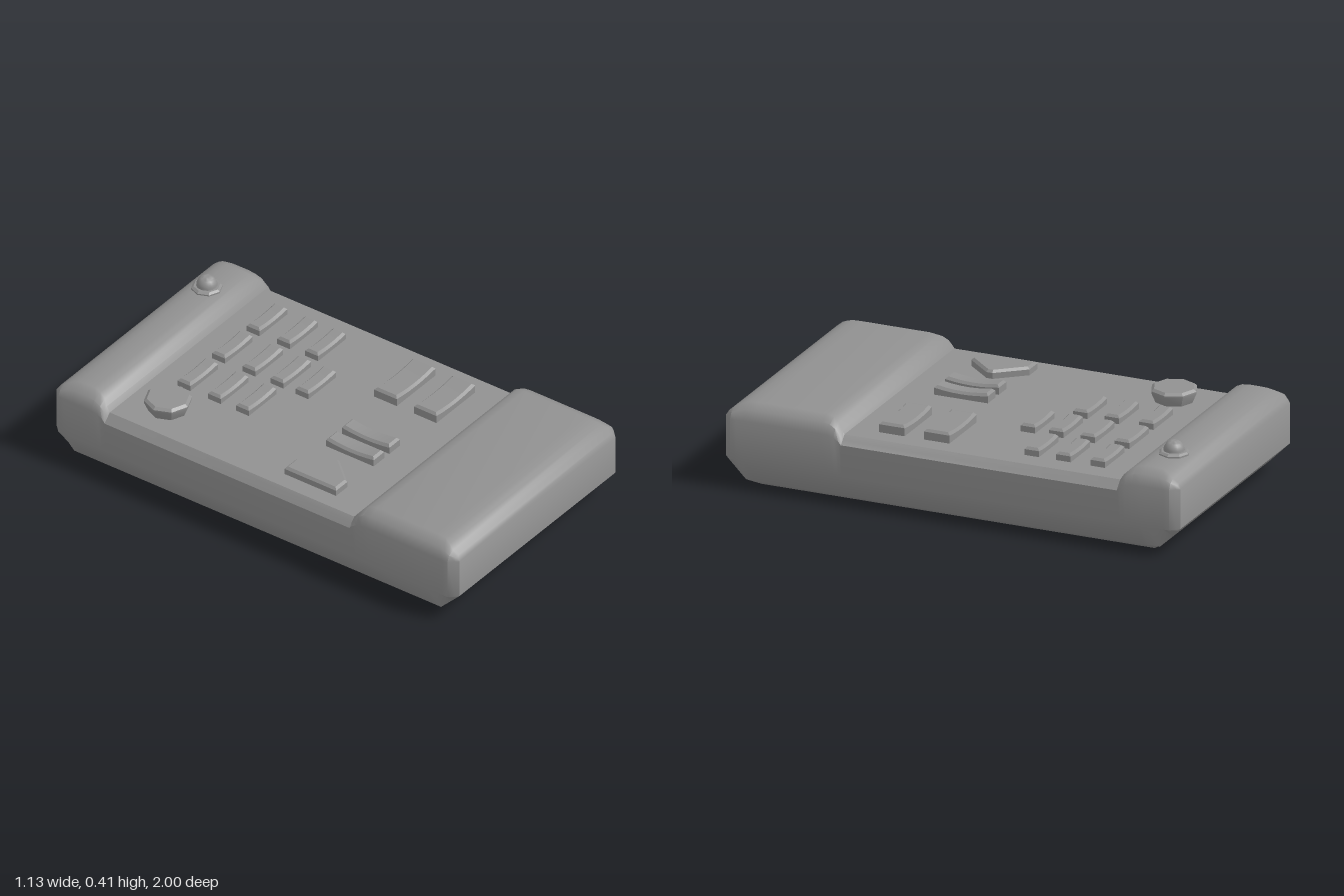
import * as THREE from 'three';
import { toCreasedNormals } from 'three/addons/utils/BufferGeometryUtils.js';

const FLOOR = 0.29; // height of the recessed button panel
const material = new THREE.MeshStandardMaterial({ color: 0x919191 });

function part(parent, name, geometry, x = 0, y = 0, z = 0, crease = 0.4) {
  const mesh = new THREE.Mesh(toCreasedNormals(geometry, crease), material);
  mesh.name = name;
  mesh.position.set(x, y, z);
  parent.add(mesh);
  return mesh;
}

// Casing: cross-sections lofted from front to back.
function casingGeometry() {
  // z, half width, lowest y, top y, top edge chamfer, chamfer roundness (0.5 = flat)
  const end = [
    [1, 0.528, 0.12, 0.29, 0], [0.988, 0.54, 0.108, 0.311, 0.021],
    [0.965, 0.563, 0.085, 0.329, 0.039], [0.94, 0.563, 0.06, 0.342, 0.052],
    [0.91, 0.563, 0.03, 0.353, 0.063], [0.865, 0.563, 0, 0.355, 0.065],
  ];
  const sections = [
    ...end,
    [0.57, 0.563, 0, 0.355, 0.065], [0.535, 0.563, 0, 0.348, 0.06],
    [0.51, 0.563, 0, 0.33, 0.05], [0.49, 0.563, 0, 0.305, 0.037, 0.42],
    [0.478, 0.563, 0, FLOOR, 0.035, 0.5], [-0.735, 0.563, 0, FLOOR, 0.035, 0.5],
    [-0.75, 0.563, 0, 0.313, 0.037, 0.42], [-0.77, 0.563, 0, 0.333, 0.05],
    [-0.8, 0.563, 0, 0.349, 0.06], [-0.835, 0.563, 0, 0.355, 0.065],
    ...end.slice().reverse().map(([z, ...rest]) => [-z, ...rest]),
  ];
  const pos = [], index = [];
  for (const [z, w, low, top, c, k = 0.33] of sections) {
    const half = [
      [0.48, low], [Math.min(0.53, w), Math.max(0.03, low)], [w, 0.12],
      [w, top - c], [w - k * c, top - k * c], [w - c, top],
    ];
    const loop = [...half, ...half.slice().reverse().map(([x, y]) => [-x, y])];
    loop.forEach(([x, y]) => pos.push(x, y, z));
  }
  const n = 12, last = (sections.length - 1) * n;
  for (let i = 0; i < last; i += n) {
    for (let j = 0; j < n; j++) {
      const k = (j + 1) % n;
      index.push(i + j, i + n + j, i + k, i + k, i + n + j, i + n + k);
    }
  }
  // end caps
  for (let j = 1; j < n - 1; j++) index.push(0, j, j + 1, last, last + j + 1, last + j);
  const g = new THREE.BufferGeometry();
  g.setAttribute('position', new THREE.Float32BufferAttribute(pos, 3));
  g.setIndex(index);
  return g;
}

// Rectangular key with a bevelled top that dips slightly along its length.
function keyGeometry(length, width, height, dip) {
  const g = new THREE.BoxGeometry(length, height, width, 6, 2, 1);
  g.translate(0, height / 2, 0);
  const p = g.attributes.position, inset = 0.01;
  for (let i = 0; i < p.count; i++) {
    const x = p.getX(i), y = p.getY(i), z = p.getZ(i);
    if (y < 0.001) continue;
    const isTop = y > height * 0.9;
    const sag = dip * (1 - (2 * x / length) ** 2);
    p.setY(i, (isTop ? height : height - inset) - sag);
    if (isTop) {
      p.setX(i, x * (1 - 2 * inset / length));
      p.setZ(i, z * (1 - 2 * inset / width));
    }
  }
  return g;
}

// Arrow-shaped button outline with a bevelled rim.
function arrowGeometry() {
  const b = 0.01;
  const outline = [[-0.446, 0.089], [-0.385, 0.089], [-0.292, 0.2], [-0.292, 0.22], [-0.385, 0.325], [-0.446, 0.325]];
  const shape = new THREE.Shape(outline.map(([x, z]) => new THREE.Vector2(x, -z)));
  const g = new THREE.ExtrudeGeometry(shape, {
    depth: 0.035 - b, bevelEnabled: true, bevelSegments: 1, bevelSize: b, bevelThickness: b,
  });
  return g.rotateX(-Math.PI / 2);
}

function lathe(points, sides) {
  return new THREE.LatheGeometry(points.map(([r, y]) => new THREE.Vector2(r, y)), sides);
}

export function createModel() {
  const model = new THREE.Group();
  model.name = 'remoteControl';
  part(model, 'casing', casingGeometry(), 0, 0, 0, 0.69);

  // Number keys: three rows of three and one below
  const keypad = new THREE.Group();
  keypad.name = 'keypad';
  model.add(keypad);
  const addKey = (x, z) => part(keypad, 'numberKey', keyGeometry(0.188, 0.064, 0.035, 0.006), x, FLOOR, z);
  for (const z of [-0.594, -0.443, -0.304]) {
    for (const x of [-0.125, 0.109, 0.343]) addKey(x, z);
  }
  addKey(0.109, -0.18);

  // Wide function keys
  for (const z of [0.109, 0.306]) {
    part(model, 'wideKey', keyGeometry(0.262, 0.112, 0.044, 0.01), 0.317, FLOOR, z);
  }

  // Pair of long bars
  for (const x of [-0.167, -0.061]) {
    part(model, 'barKey', keyGeometry(0.236, 0.072, 0.04, 0.01), x, FLOOR, 0.218).rotation.y = Math.PI / 2;
  }

  part(model, 'arrowKey', arrowGeometry(), 0, FLOOR, 0);

  // Octagonal power button, narrower at the base
  part(model, 'powerButton',
    lathe([[0.08, 0], [0.098, 0.042], [0.098, 0.05], [0.086, 0.06], [0, 0.06]], 8), -0.37, FLOOR, -0.562);

  // Indicator lamp: octagonal collar and dome
  part(model, 'lampCollar', lathe([[0.064, 0], [0.064, 0.007], [0.054, 0.014], [0, 0.014]], 8), 0.323, 0.353, -0.878);
  part(model, 'lampDome',
    new THREE.SphereGeometry(0.043, 16, 8, 0, Math.PI * 2, 0, Math.PI / 2), 0.323, 0.368, -0.878, 1);
  return model;
}
